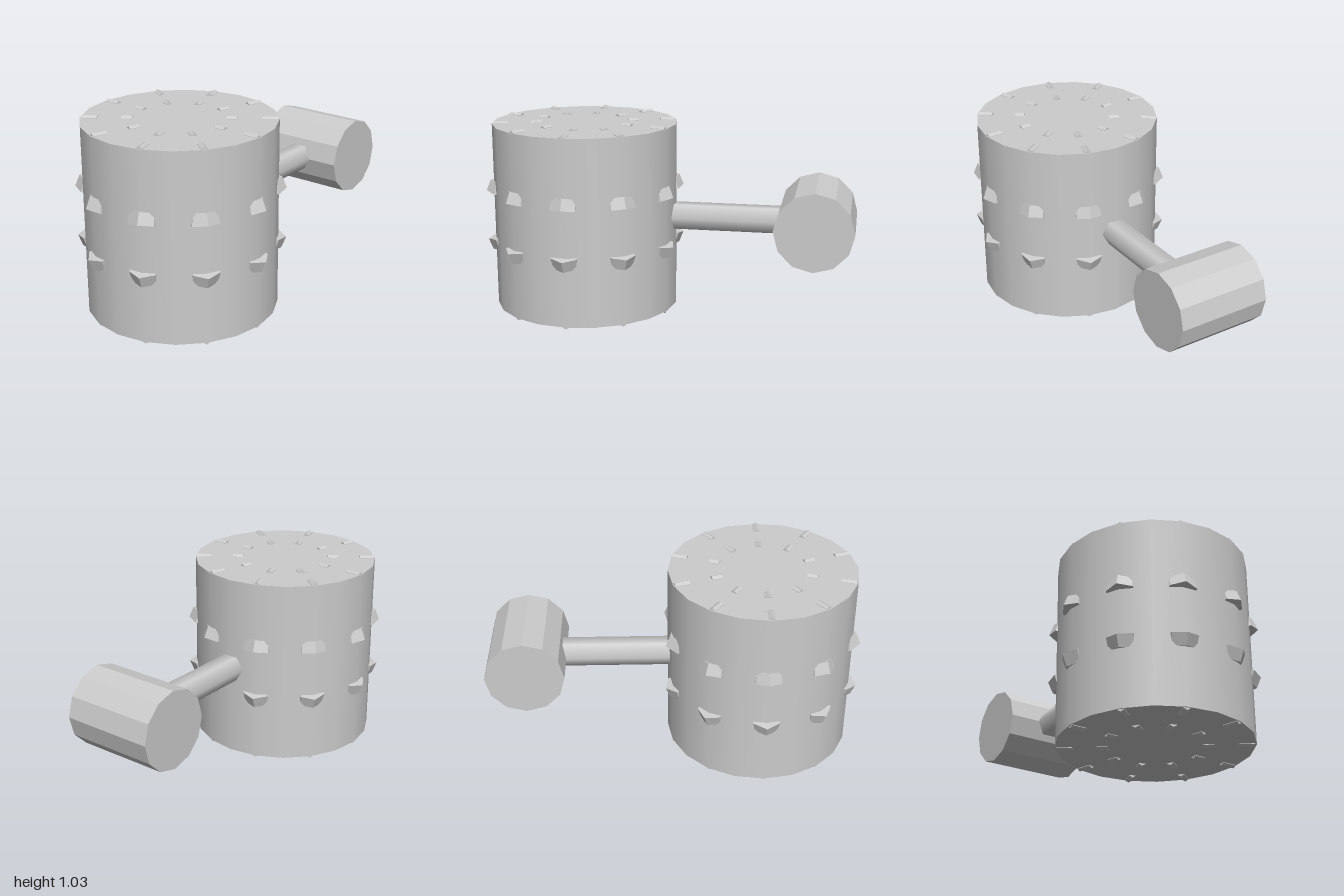
import * as THREE from 'three';

const smooth = new THREE.MeshStandardMaterial({ color: 0xcccccc });
const faceted = new THREE.MeshStandardMaterial({ color: 0xcccccc, flatShading: true });

const DRUM = { radius: 0.503, bottom: 0.013, top: 1.023, z: 0.482, sides: 20 };
const MID = (DRUM.bottom + DRUM.top) / 2;

function addMesh(parent, name, geometry, material) {
  const mesh = new THREE.Mesh(geometry, material);
  mesh.name = name;
  parent.add(mesh);
  return mesh;
}

// Ten copies of a part around the drum axis; the part points along +z
function addRing(parent, name, geometry) {
  const ring = new THREE.Group();
  ring.name = name;
  for (let i = 0; i < 10; i++) {
    addMesh(ring, 'tooth', geometry, faceted).rotation.y = Math.PI / 2 + (i * Math.PI) / 5;
  }
  parent.add(ring);
}

// Tilted hexagonal stud, half sunk into the drum wall; side is 1 (upper) or -1 (lower)
function studGeometry(side) {
  const wide = 0.08, narrow = 0.071;
  return new THREE.CylinderGeometry(side > 0 ? narrow : wide, side > 0 ? wide : narrow, 0.064, 6)
    .rotateX(-side * 0.245)
    .translate(0, MID + side * 0.149, 0.459);
}

// Shallow radial ridge between two radii, half sunk into a drum end
function ridgeGeometry(inner, outer, y) {
  return new THREE.CylinderGeometry(0.02, 0.02, outer - inner, 6)
    .rotateX(Math.PI / 2)
    .translate(0, y, (inner + outer) / 2);
}

export function createModel() {
  const model = new THREE.Group();
  model.name = 'studdedDrum';

  // Drum with its studs and end ridges
  const drum = new THREE.Group();
  drum.name = 'drum';
  drum.position.z = DRUM.z;
  model.add(drum);
  addMesh(drum, 'drumBody',
    new THREE.CylinderGeometry(DRUM.radius, DRUM.radius, DRUM.top - DRUM.bottom, DRUM.sides)
      .translate(0, MID, 0), smooth);

  for (const side of [1, -1]) {
    const label = side > 0 ? 'upper' : 'lower';
    const y = side > 0 ? DRUM.top - 0.008 : DRUM.bottom + 0.007;
    addRing(drum, label + 'Studs', studGeometry(side));
    addRing(drum, label + 'OuterRidges', ridgeGeometry(0.415, 0.495, y));
    addRing(drum, label + 'InnerRidges', ridgeGeometry(0.236, 0.292, y));
  }

  // Hexagonal handle shaft, from inside the drum wall to inside the grip
  addMesh(model, 'handleShaft',
    new THREE.CylinderGeometry(0.078, 0.078, 0.65, 6)
      .rotateY(Math.PI / 2)
      .rotateX(Math.PI / 2)
      .translate(0, MID, -0.335), smooth);

  // Twelve-sided crosswise grip
  addMesh(model, 'grip',
    new THREE.CylinderGeometry(0.213, 0.213, 0.506, 12)
      .rotateZ(Math.PI / 2)
      .translate(0, MID, -0.787), faceted);

  return model;
}
